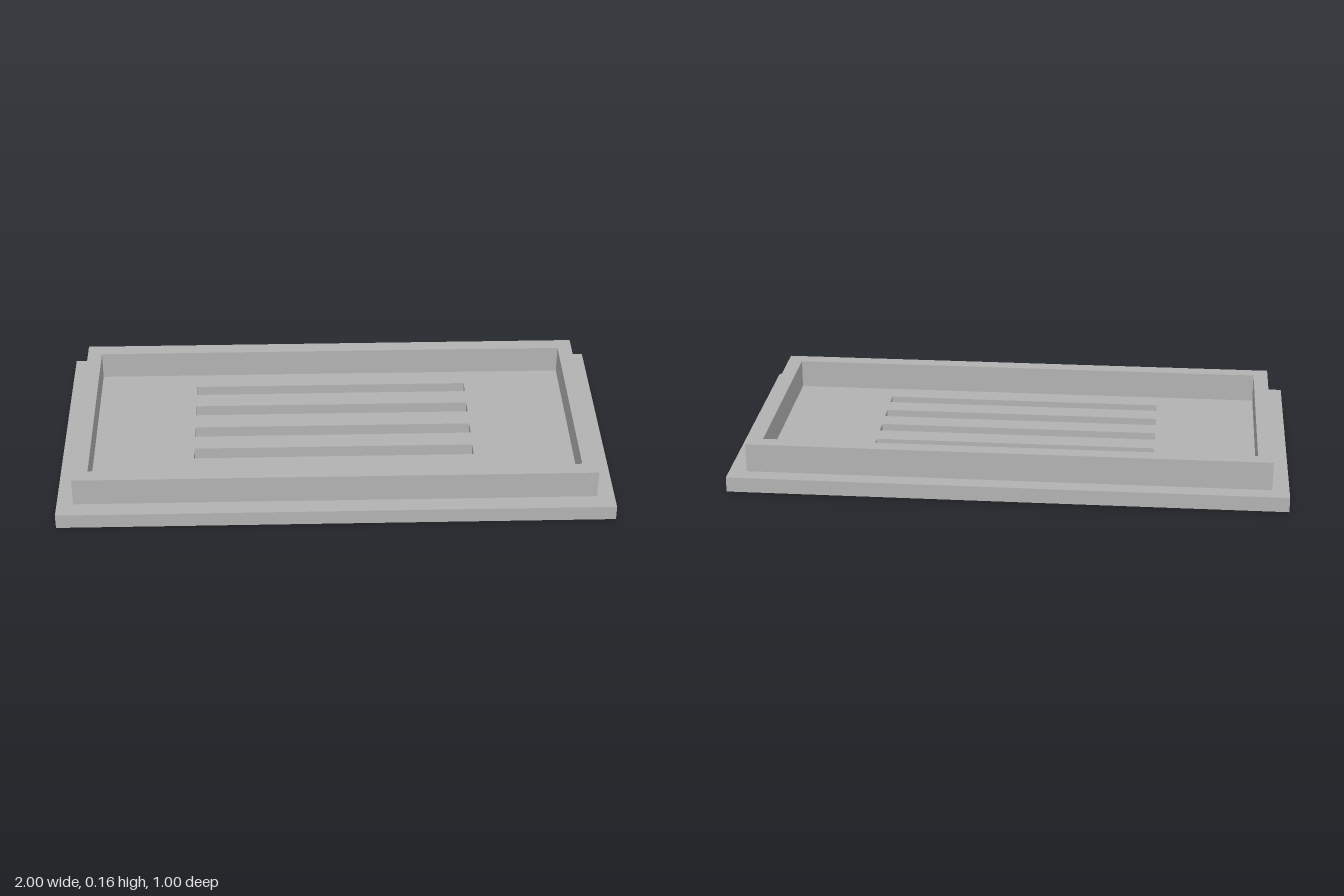
import * as THREE from 'three';

const BASE_H = 0.055, TOP = 0.16;

// Axis-aligned rectangle; z is flipped because the shape is laid flat
function rect(path, x0, x1, z0, z1) {
  path.moveTo(x0, -z1);
  path.lineTo(x1, -z1);
  path.lineTo(x1, -z0);
  path.lineTo(x0, -z0);
  path.closePath();
  return path;
}

// Flat slab with rectangular holes, raised from y to y + height
function slab(name, outline, holes, y, height, material) {
  const shape = rect(new THREE.Shape(), ...outline);
  for (const hole of holes) shape.holes.push(rect(new THREE.Path(), ...hole));
  const geometry = new THREE.ExtrudeGeometry(shape, { depth: height, bevelEnabled: false });
  geometry.rotateX(-Math.PI / 2);
  geometry.translate(0, y, 0);
  const mesh = new THREE.Mesh(geometry, material);
  mesh.name = name;
  return mesh;
}

export function createModel() {
  const grey = new THREE.MeshStandardMaterial({ color: 0xb2b2b2 });
  grey.name = 'light grey';

  const group = new THREE.Group();
  group.name = 'ventCover';

  // Base plate with five long slots
  const slots = [[-0.305, -0.25], [-0.172, -0.112], [-0.032, 0.028], [0.105, 0.166], [0.245, 0.3]]
    .map(([z0, z1]) => [-0.517, 0.515, z0, z1]);
  group.add(slab('slottedBasePlate', [-1, 1, -0.5, 0.5], slots, 0, BASE_H, grey));

  // Raised rim set in from the plate edge
  group.add(slab('raisedRim', [-0.94, 0.937, -0.44, 0.435],
    [[-0.886, 0.883, -0.385, 0.38]], BASE_H, TOP - BASE_H, grey));

  return group;
}
